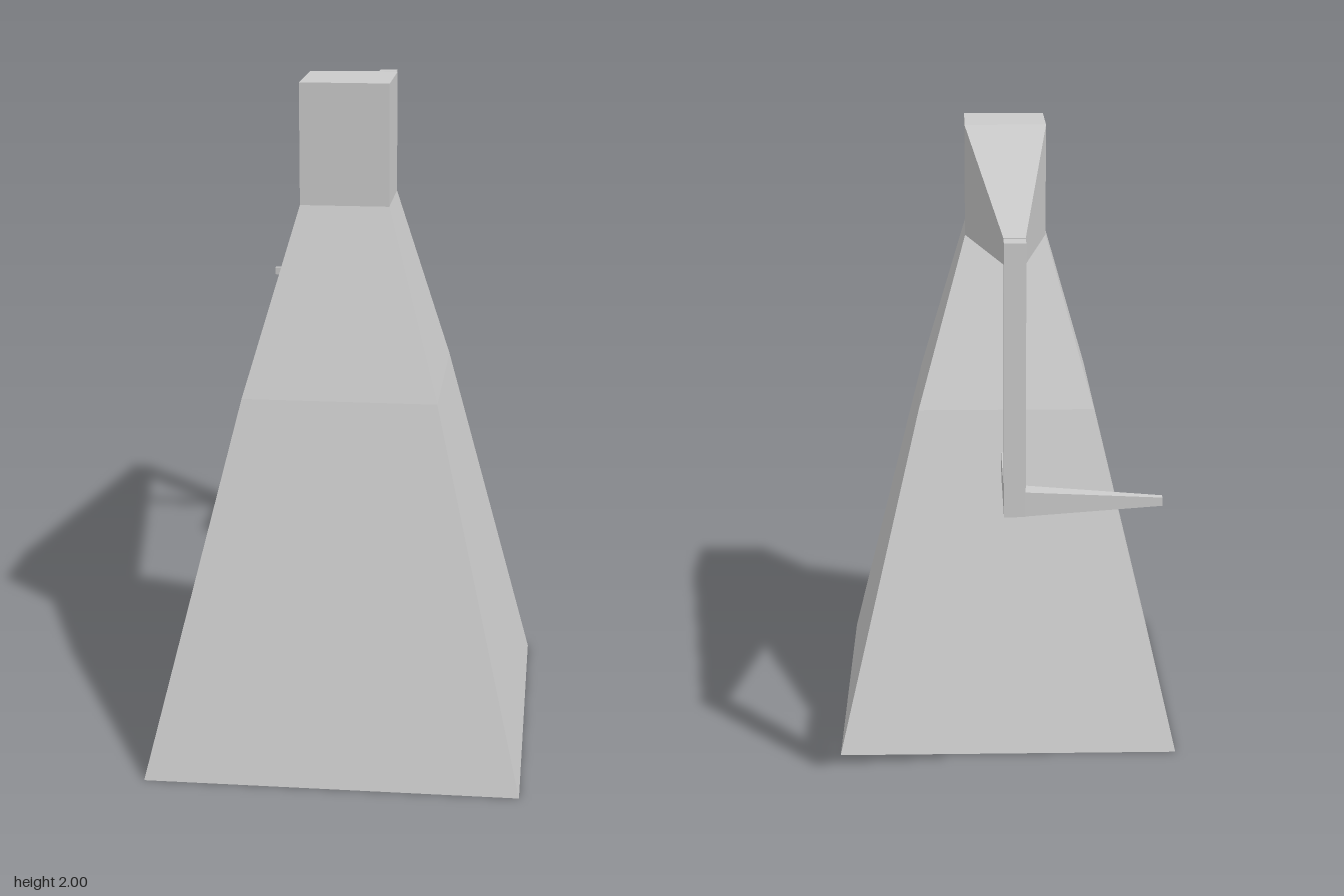
import * as THREE from 'three';

const material = new THREE.MeshStandardMaterial({ color: 0xcccccc, flatShading: true });

// Unit directions; each pair (u, v) is ordered so that u x v is the direction of travel
const X = new THREE.Vector3(1, 0, 0);
const Y = new THREE.Vector3(0, 1, 0);
const Z = new THREE.Vector3(0, 0, 1);

// Closed solid through rectangular sections [cx, cy, cz, halfU, halfV]
function loft(name, u, v, sections) {
  const rings = sections.map(([cx, cy, cz, hu, hv]) =>
    [[-1, -1], [1, -1], [1, 1], [-1, 1]].map(([a, b]) =>
      new THREE.Vector3(cx, cy, cz).addScaledVector(u, a * hu).addScaledVector(v, b * hv)));
  const points = [];
  const quad = (a, b, c, d) => points.push(a, b, c, a, c, d);
  for (let r = 0; r < rings.length - 1; r++) {
    for (let i = 0; i < 4; i++) {
      const j = (i + 1) % 4;
      quad(rings[r][i], rings[r][j], rings[r + 1][j], rings[r + 1][i]);
    }
  }
  quad(...[...rings[0]].reverse());
  quad(...rings[rings.length - 1]);
  const geometry = new THREE.BufferGeometry().setFromPoints(points);
  geometry.computeVertexNormals();
  const mesh = new THREE.Mesh(geometry, material);
  mesh.name = name;
  return mesh;
}

export function createModel() {
  const group = new THREE.Group();
  group.name = 'towerWithArm';
  const bodyZ = 0.37;
  const rodZ = -0.89;
  const t = 0.03; // half thickness of the rod

  group.add(
    // Square tower: wide foot, slight bend, straight head
    loft('tower', Z, X, [
      [0, 0, bodyZ, 0.55, 0.55],
      [0, 1.1, bodyZ, 0.285, 0.285],
      [0, 1.645, bodyZ, 0.13, 0.13],
      [0, 2, bodyZ, 0.13, 0.13],
    ]),
    // Tapering arm reaching backwards from the head
    loft('arm', Y, X, [
      [0, 1.8225, 0.24, 0.1775, 0.13],
      [0, 1.826, rodZ + t, 0.036, t],
    ]),
    // Rod hanging from the arm's end
    loft('hangingRod', X, Z, [
      [0, 1.86, rodZ, t, t],
      [0, 1.09, rodZ, t, t],
    ]),
    // Straight bar pointing forward from the rod's foot
    loft('forwardBar', X, Y, [
      [0, 1.125, rodZ + t, t, 0.035],
      [0, 1.125, -0.555, t, 0.035],
    ]),
    // Tapered spike pointing to the right
    loft('sideSpike', Z, Y, [
      [-t, 1.127, rodZ, t, 0.035],
      [-0.41, 1.127, rodZ - 0.005, 0.01, 0.012],
    ]),
  );
  return group;
}
